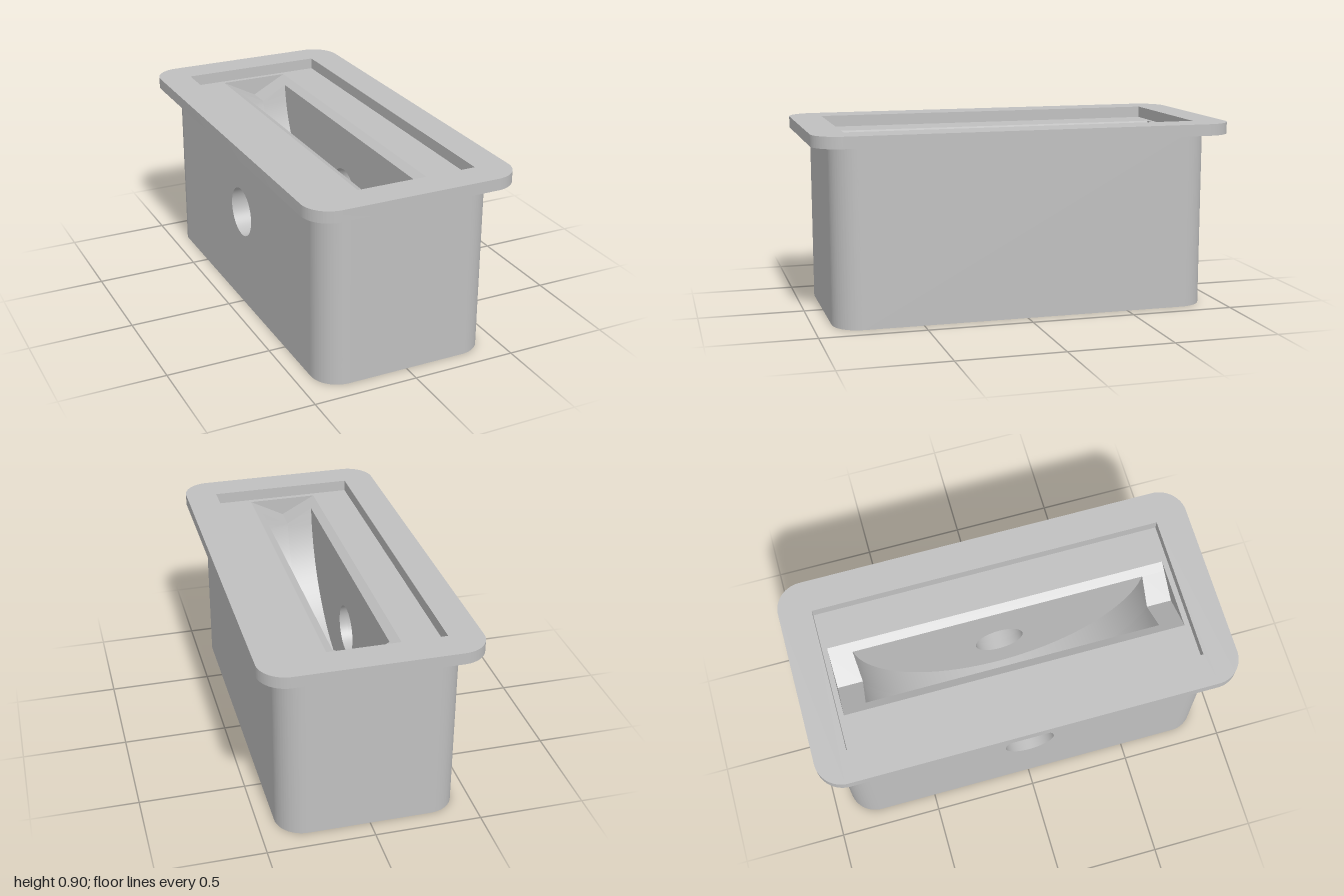
import * as THREE from 'three';
import { toCreasedNormals } from 'three/addons/utils/BufferGeometryUtils.js';

const FLOOR = 0.845, TOP = 0.9;            // recess floor and rim heights
const GROOVE_X = 0.17, GROOVE_Y = 0.755;   // V groove half width and lowest height
const SLOT_X = 0.13, BOWL_R = 0.714;       // slot half width, curved bottom radius
const BODY_X = 0.42, BODY_Z = 0.91, CORNER = 0.13;
const HOLE_Y = 0.485, HOLE_R = 0.12;

const grooveY = x => GROOVE_Y + (FLOOR - GROOVE_Y) * Math.min(1, Math.abs(x) / GROOVE_X);
const polygon = pts => new THREE.Shape(pts.map(p => new THREE.Vector2(...p)));

export function createModel() {
  const model = new THREE.Group();
  const grey = new THREE.MeshStandardMaterial({ color: 0xc0c0c0 });
  grey.name = 'plain grey';

  const add = (name, geometry) => {
    const mesh = new THREE.Mesh(toCreasedNormals(geometry, 0.5), grey);
    mesh.name = name;
    model.add(mesh);
    return mesh;
  };
  const extrude = (shape, depth) =>
    new THREE.ExtrudeGeometry(shape, { depth, bevelEnabled: false, curveSegments: 32 });

  // Slab cut from a side profile, running from x0 to x1; its top can follow the groove
  const slab = (name, shape, x0, x1, grooved) => {
    const g = extrude(shape, x1 - x0).rotateY(Math.PI / 2).translate(x0, 0, 0);
    if (grooved) {
      const p = g.attributes.position;
      for (let i = 0; i < p.count; i++) {
        if (p.getY(i) < 0.8) continue;
        const y = grooveY(p.getX(i)), z = p.getZ(i);
        p.setY(i, y);
        // slot ends stay on the curved bottom
        if (Math.abs(z) < 0.75) p.setZ(i, Math.sign(z) * Math.sqrt(BOWL_R ** 2 - (TOP - y) ** 2));
      }
    }
    add(name, g);
  };

  const sideProfile = (halfZ, drilled) => {
    const s = polygon([[-halfZ, 0], [halfZ, 0], [halfZ, FLOOR], [-halfZ, FLOOR]]);
    if (drilled) s.holes.push(new THREE.Path().absarc(0, HOLE_Y, HOLE_R, 0, Math.PI * 2, true));
    return s;
  };

  // Side walls: drilled right through on -x, with a blind end on +x
  const flatZ = BODY_Z - CORNER, grooveZ = 0.82;
  slab('drilledSideWall', sideProfile(flatZ, true), -BODY_X, -GROOVE_X, false);
  slab('drilledGrooveShoulder', sideProfile(grooveZ, true), -GROOVE_X, -SLOT_X, true);
  slab('blindGrooveShoulder', sideProfile(grooveZ, true), SLOT_X, GROOVE_X, true);
  slab('blindHoleWall', sideProfile(flatZ, true), GROOVE_X, 0.26, false);
  slab('plainSideWall', sideProfile(flatZ, false), 0.26, BODY_X, false);

  // Curved bottom of the slot, in two halves that meet at the groove crease
  const pts = [[-grooveZ, 0], [grooveZ, 0], [grooveZ, 0.824], [0.71, 0.824]];
  const start = Math.asin((TOP - 0.74) / BOWL_R), steps = 48;
  for (let i = 0; i <= steps; i++) {
    const a = start + (Math.PI - 2 * start) * i / steps;
    pts.push([BOWL_R * Math.cos(a), TOP - BOWL_R * Math.sin(a)]);
  }
  pts.push([-0.71, 0.824], [-grooveZ, 0.824]);
  slab('slotBottomRight', polygon(pts), -SLOT_X, 0, true);
  slab('slotBottomLeft', polygon(pts), 0, SLOT_X, true);

  // Rounded end walls, notched for the groove
  const end = new THREE.Shape();
  end.moveTo(-BODY_X, -flatZ);
  end.absarc(-BODY_X + CORNER, -flatZ, CORNER, Math.PI, Math.PI * 1.5, false);
  end.absarc(BODY_X - CORNER, -flatZ, CORNER, Math.PI * 1.5, Math.PI * 2, false);
  end.lineTo(GROOVE_X, -flatZ);
  end.lineTo(GROOVE_X, -grooveZ);
  end.lineTo(-GROOVE_X, -grooveZ);
  end.lineTo(-GROOVE_X, -flatZ);
  end.closePath();
  for (const [name, turn] of [['frontEndWall', 0], ['backEndWall', Math.PI]]) {
    add(name, extrude(end, FLOOR).rotateX(-Math.PI / 2).rotateY(turn));
  }

  // Overhanging rim with a rectangular opening
  const fx = 0.505, fz = 1, r = CORNER;
  const rim = new THREE.Shape();
  rim.absarc(fx - r, fz - r, r, 0, Math.PI / 2, false);
  rim.absarc(-fx + r, fz - r, r, Math.PI / 2, Math.PI, false);
  rim.absarc(-fx + r, -fz + r, r, Math.PI, Math.PI * 1.5, false);
  rim.absarc(fx - r, -fz + r, r, Math.PI * 1.5, Math.PI * 2, false);
  rim.closePath();
  rim.holes.push(polygon([[-0.35, -0.845], [-0.35, 0.845], [0.35, 0.845], [0.35, -0.845]]));
  add('rim', extrude(rim, TOP - FLOOR).rotateX(-Math.PI / 2).translate(0, FLOOR, 0));

  return model;
}
